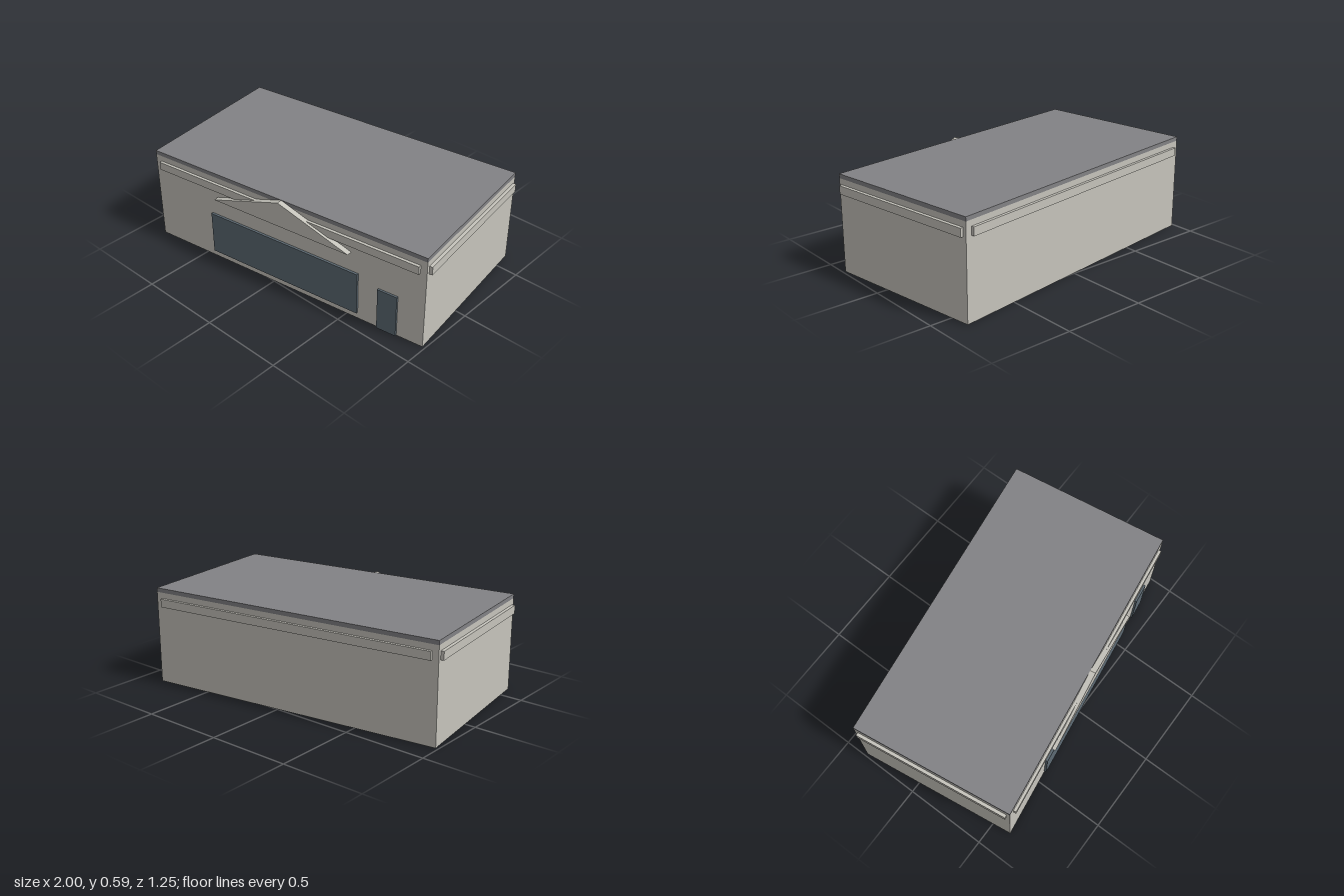
import * as THREE from 'three';

export function createModel() {
  const wall = new THREE.MeshStandardMaterial({ name: 'warmGreyWall', color: 0xc6c4bc });
  const roofing = new THREE.MeshStandardMaterial({ name: 'greyRoofing', color: 0x828285 });
  const glass = new THREE.MeshStandardMaterial({ name: 'blueGreyGlass', color: 0x5c6972 });

  const W = 0.925, D = 0.492; // half width and half depth of the building
  const building = new THREE.Group();
  building.name = 'building';
  building.rotation.y = 0.1383; // the building stands at a slight angle

  // Box given by its low and high corners
  function box(name, material, [x0, y0, z0], [x1, y1, z1]) {
    const geometry = new THREE.BoxGeometry(x1 - x0, y1 - y0, z1 - z0);
    geometry.translate((x0 + x1) / 2, (y0 + y1) / 2, (z0 + z1) / 2);
    const mesh = new THREE.Mesh(geometry, material);
    mesh.name = name;
    building.add(mesh);
  }

  // Main volume and flat roof
  box('walls', wall, [-W, 0, -D], [W, 0.565, D]);
  box('roof', roofing, [-W, 0.565, -D], [W, 0.59, D]);

  // Raised trim band on each side
  const y0 = 0.48, y1 = 0.53, t = 0.017;
  box('frontBand', wall, [-0.886, y0, D], [0.886, y1, D + t]);
  box('backBand', wall, [-0.886, y0, -D - t], [0.886, y1, -D]);
  box('leftBand', wall, [W, y0, -0.472], [W + t + 0.002, y1, 0.472]);
  box('rightBand', wall, [-W - t - 0.002, y0, -0.472], [-W, y1, 0.472]);

  // Shop window and door
  box('window', glass, [-0.51, 0.042, D], [0.51, 0.31, D + 0.014]);
  box('door', glass, [0.639, 0.002, D], [0.761, 0.268, D + 0.012]);

  // Triangular gable over the window
  const triangle = new THREE.Shape();
  triangle.moveTo(-0.462, 0.434);
  triangle.lineTo(0.462, 0.434);
  triangle.lineTo(0, 0.589);
  triangle.closePath();
  const gable = new THREE.Mesh(
    new THREE.ExtrudeGeometry(triangle, { depth: 0.034, bevelEnabled: false }), wall);
  gable.name = 'gable';
  gable.position.z = D - 0.001;
  building.add(gable);

  const model = new THREE.Group();
  model.name = 'shopBuilding';
  model.add(building);
  return model;
}
